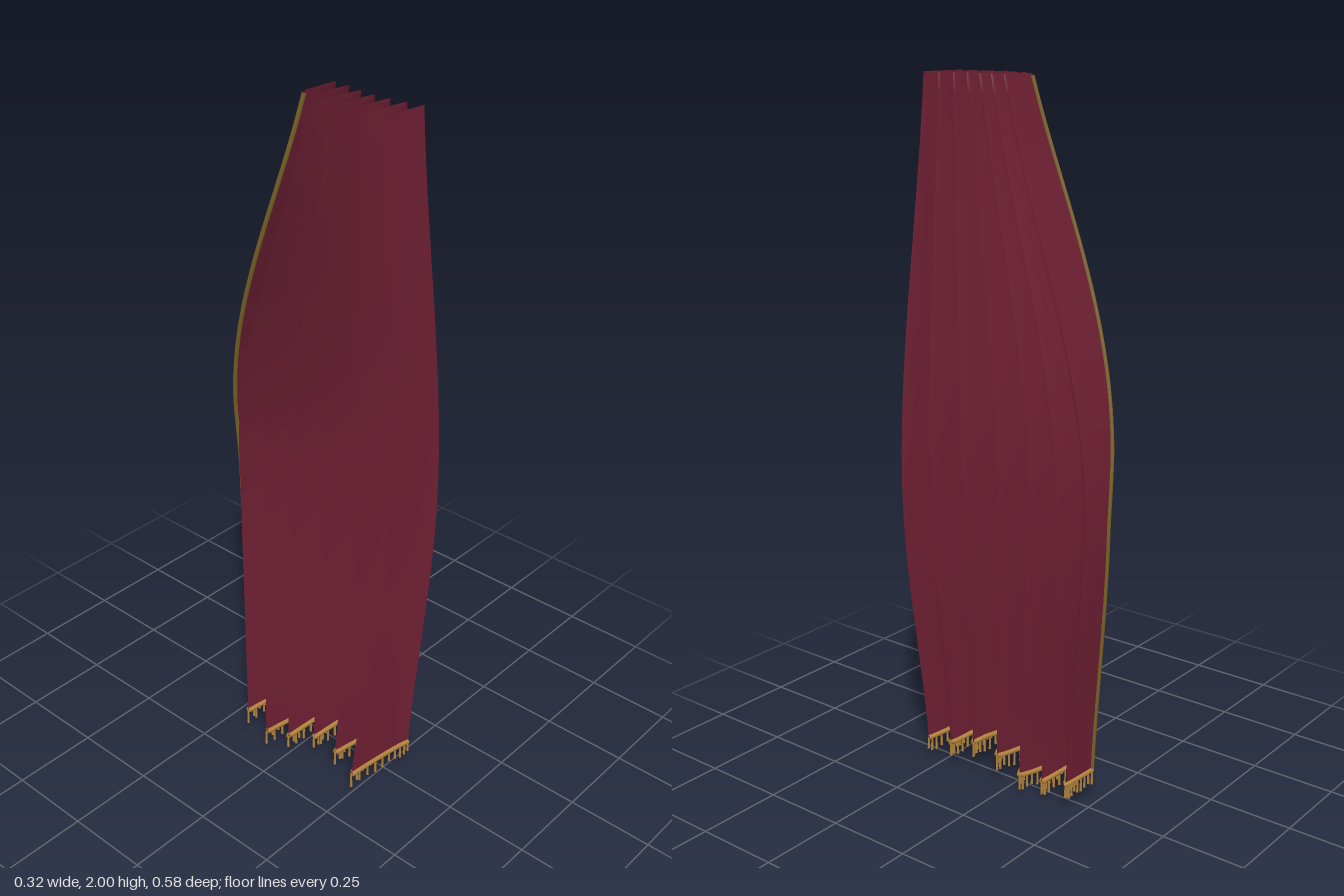
import * as THREE from 'three';
import { mergeGeometries } from 'three/addons/utils/BufferGeometryUtils.js';

const TOP = 2, MID = 0.9, BOTTOM = 0.08, FOLDS = 6;

// x of each outer (right) and inner (left) fold at the top, the belly and the hem
const OUTER = [
  [0.04, 0.035, 0.03, 0.03, 0.035, 0.045, 0.05],
  [0.16, 0.15, 0.125, 0.09, 0.075, 0.08, 0.075],
  [0.07, 0.065, 0.06, 0.055, 0.055, 0.06, 0.06],
];
const INNER = [
  [-0.1, -0.11, -0.118, -0.118, -0.1, -0.08, -0.055],
  [0, -0.03, -0.06, -0.09, -0.105, -0.1, -0.022],
  [-0.152, -0.13, -0.13, -0.15, -0.158, -0.15, -0.05],
];
const HEM = [0.075, 0.085, 0.115, 0.085, 0.045, 0.08, 0.09];

const lerp = THREE.MathUtils.lerp;
const ease = t => (Math.sin(t * Math.PI / 2) + t * t * (3 - 2 * t)) / 2;

// Height profile: blend top -> belly -> hem
function atHeight(top, mid, bottom, y) {
  return y > MID
    ? lerp(top, mid, ease((TOP - y) / (TOP - MID)))
    : lerp(bottom, mid, ease(Math.max(0, (y - BOTTOM) / (MID - BOTTOM))));
}

// Corner k of the zigzag: even corners are outer folds, odd ones inner folds
function corner(k, y) {
  const i = Math.floor(k / 2), inner = k % 2 === 1;
  const rows = inner ? INNER : OUTER;
  let x = atHeight(rows[0][i], rows[1][i], rows[2][i], y);
  if (inner && i >= 5 && y > MID) {
    x -= (i === 6 ? 0.055 : 0.015) * Math.sin(Math.PI * (TOP - y) / (TOP - MID));
  }
  const back = atHeight(0, -0.287, -0.225, y);
  const f = Math.min(1, (i + (inner ? 0.35 : 0)) / 6.15);
  return [x, lerp(0.285, back, f)];
}

// Point on the cloth: u runs across the corners, v from hem (0) to top (1)
function clothPoint(u, v) {
  const k = Math.min(2 * FOLDS, Math.floor(u)), t = u - k;
  const h = Math.min(FOLDS - 0.001, u / (2 * FOLDS + 1) * FOLDS), hi = Math.floor(h);
  const y = lerp(lerp(HEM[hi], HEM[hi + 1], h - hi), TOP, v);
  const a = corner(k, y), b = corner(k + 1, y);
  const towardOuter = k % 2 === 0 ? 1 - t : t;
  const [outer, inner] = k % 2 === 0 ? [a, b] : [b, a];
  const w = lerp(towardOuter, Math.sin(towardOuter * Math.PI / 2), 0.6);
  return new THREE.Vector3(lerp(inner[0], outer[0], w), y, lerp(inner[1], outer[1], towardOuter));
}

// Grid surface between two inner creases, rounded over the outer fold
function pleatGeometry(u0, u1) {
  const cols = Math.round((u1 - u0) * 8), rows = 36, pos = [], index = [];
  for (let r = 0; r <= rows; r++) {
    for (let c = 0; c <= cols; c++) {
      const p = clothPoint(Math.min(13, lerp(u0, u1, c / cols)), r / rows);
      pos.push(p.x, p.y, p.z);
      if (r < rows && c < cols) {
        const a = r * (cols + 1) + c, b = a + cols + 1;
        index.push(a, a + 1, b, a + 1, b + 1, b);
      }
    }
  }
  const g = new THREE.BufferGeometry();
  g.setAttribute('position', new THREE.Float32BufferAttribute(pos, 3));
  g.setIndex(index);
  g.computeVertexNormals();
  return g;
}

export function createModel() {
  const group = new THREE.Group();
  group.name = 'curtain';
  const cloth = new THREE.MeshStandardMaterial({ color: 0x6e1f33, side: THREE.DoubleSide });
  cloth.name = 'burgundy cloth';
  const gold = new THREE.MeshStandardMaterial({ color: 0xb5843c });
  gold.name = 'gold trim';
  const piping = new THREE.MeshStandardMaterial({ color: 0x7d6428 });
  piping.name = 'dark gold piping';
  const add = (name, geometry, material) => {
    const mesh = new THREE.Mesh(geometry, material);
    mesh.name = name;
    group.add(mesh);
  };

  // Pleats
  add('frontPanel', pleatGeometry(0, 1), cloth);
  for (let u = 1; u < 13; u += 2) add('pleat', pleatGeometry(u, u + 2), cloth);

  // Gold band along the hem
  const hem = [];
  for (let j = 0; j <= 13 * 6; j++) hem.push(clothPoint(j / 6, 0));
  const band = new THREE.CatmullRomCurve3(hem, false, 'centripetal');
  add('hemBand', new THREE.TubeGeometry(band, 260, 0.008, 6), gold);

  // Fringe threads hanging from the band
  const threads = [];
  for (let j = 0; j <= 13 * 9; j++) {
    const p = clothPoint(j / 9, 0);
    const length = 0.035 + 0.012 * Math.abs(Math.sin(j * 2.3));
    threads.push(new THREE.CylinderGeometry(0.003, 0.004, length, 5)
      .translate(p.x, Math.max(p.y - length / 2, length / 2), p.z));
  }
  add('fringe', mergeGeometries(threads), gold);

  // Piping down the free back edge
  const edge = [];
  for (let j = 0; j <= 20; j++) edge.push(clothPoint(13, j / 20 * 0.997));
  add('edgePiping', new THREE.TubeGeometry(new THREE.CatmullRomCurve3(edge), 60, 0.006, 6), piping);

  return group;
}
